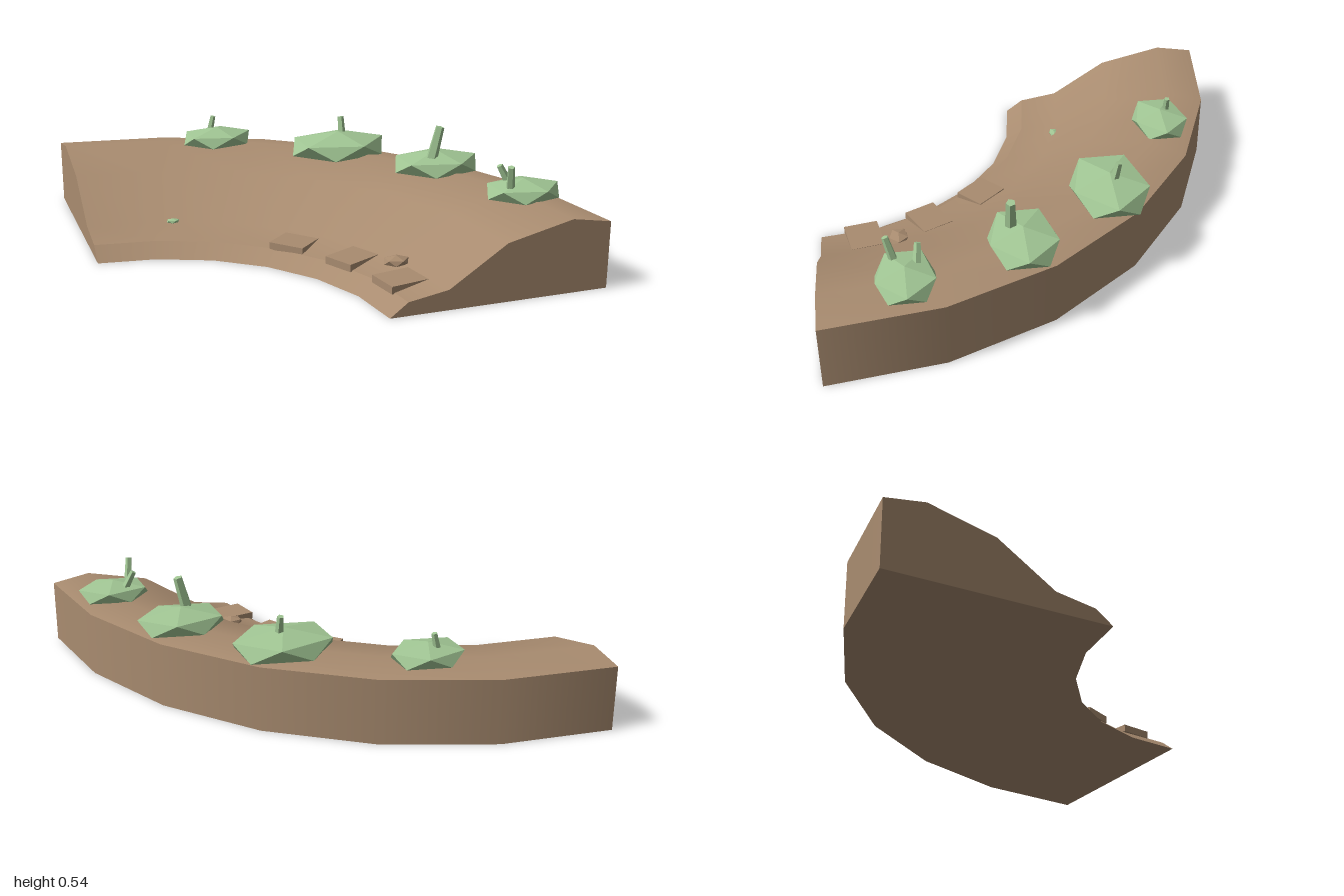
import * as THREE from 'three';

const mat = (name, color, flatShading = false) => {
  const m = new THREE.MeshStandardMaterial({ color, flatShading });
  m.name = name;
  return m;
};

export function createModel() {
  const root = new THREE.Group();
  root.name = 'curvedTerrain';
  const earth = mat('earth', 0xa98c70);
  const green = mat('leafGreen', 0xa1c694);

  const add = (name, geo, material, x = 0, y = 0, z = 0) => {
    const mesh = new THREE.Mesh(geo, material);
    mesh.name = name;
    mesh.position.set(x, y, z);
    root.add(mesh);
    return mesh;
  };

  // Quarter ring of ground; separate sweeps keep the creases sharp
  const sweep = (name, pts) => add(name, new THREE.LatheGeometry(
    pts.map(([r, y]) => new THREE.Vector2(r, y)), 6, Math.PI / 2, Math.PI / 2), earth, -1, 0, 1);
  const top = [[2, 0.3], [1.82, 0.33], [1.52, 0.26], [1.26, 0.09], [1.08, 0.06]];
  sweep('underside', [[1, 0], [2, 0]]);
  sweep('outerWall', [[2, 0], [2, 0.3]]);
  sweep('slope', top);
  sweep('innerBank', [[1.08, 0.06], [1, 0]]);

  // Flat end faces of the ring
  const section = (s) => new THREE.ShapeGeometry(new THREE.Shape(
    [[1, 0], [2, 0], ...top].map(([r, y]) => new THREE.Vector2(s * r, y))));
  add('frontEnd', section(1), earth, -1, 0, 1);
  add('leftEnd', section(-1), earth, -1, 0, 1).rotation.y = -Math.PI / 2;

  // Squashed icosahedron standing on a corner; rx and rz are its ring radii
  const blob = (name, material, x, y, z, rx, ry, rz) => {
    const g = new THREE.IcosahedronGeometry(1, 0);
    g.rotateZ(-Math.atan(2 / (1 + Math.sqrt(5))));
    g.scale(rx / 0.894, ry, rz / 0.894);
    g.computeVertexNormals();
    return add(name, g, material, x, y, z);
  };
  const bushes = [
    [-0.26, 0.35, -0.66, 0.17, 0.056, 0.131],
    [0.265, 0.352, -0.31, 0.235, 0.073, 0.179],
    [0.595, 0.351, 0.125, 0.205, 0.065, 0.155],
    [0.78, 0.35, 0.635, 0.17, 0.056, 0.131],
  ];
  bushes.forEach((b) => blob('bush', green, ...b));

  // Leaning tapered stalks, from base to tip
  const stalk = (a, b, r) => {
    const from = new THREE.Vector3(...a), to = new THREE.Vector3(...b);
    const dir = to.clone().sub(from);
    const g = new THREE.CylinderGeometry(r * 0.75, r, dir.length(), 5).toNonIndexed();
    g.computeVertexNormals();
    const m = add('stalk', g, green);
    m.position.copy(from).lerp(to, 0.5);
    m.quaternion.setFromUnitVectors(new THREE.Vector3(0, 1, 0), dir.normalize());
  };
  stalk([-0.29, 0.37, -0.695], [-0.27, 0.455, -0.695], 0.018);
  stalk([0.29, 0.39, -0.325], [0.29, 0.49, -0.345], 0.021);
  stalk([0.55, 0.38, 0.17], [0.588, 0.54, 0.175], 0.028);
  stalk([0.695, 0.37, 0.675], [0.678, 0.485, 0.705], 0.02);
  stalk([0.735, 0.37, 0.583], [0.692, 0.455, 0.573], 0.02);

  // Stone slabs along the inner bank: angle, radial size, tangential size
  [[42, 0.15, 0.17], [26, 0.18, 0.15], [10, 0.18, 0.155]].forEach(([deg, w, d]) => {
    const a = THREE.MathUtils.degToRad(deg);
    add('slab', new THREE.BoxGeometry(w, 0.034, d), earth,
      -1 + 1.146 * Math.cos(a), 0.072, 1 - 1.146 * Math.sin(a)).rotation.y = a;
  });

  // Loose pebbles
  blob('pebble', earth, 0.177, 0.098, 0.645, 0.056, 0.025, 0.045);
  blob('mossTuft', green, -0.605, 0.094, -0.195, 0.03, 0.012, 0.023);
  return root;
}
